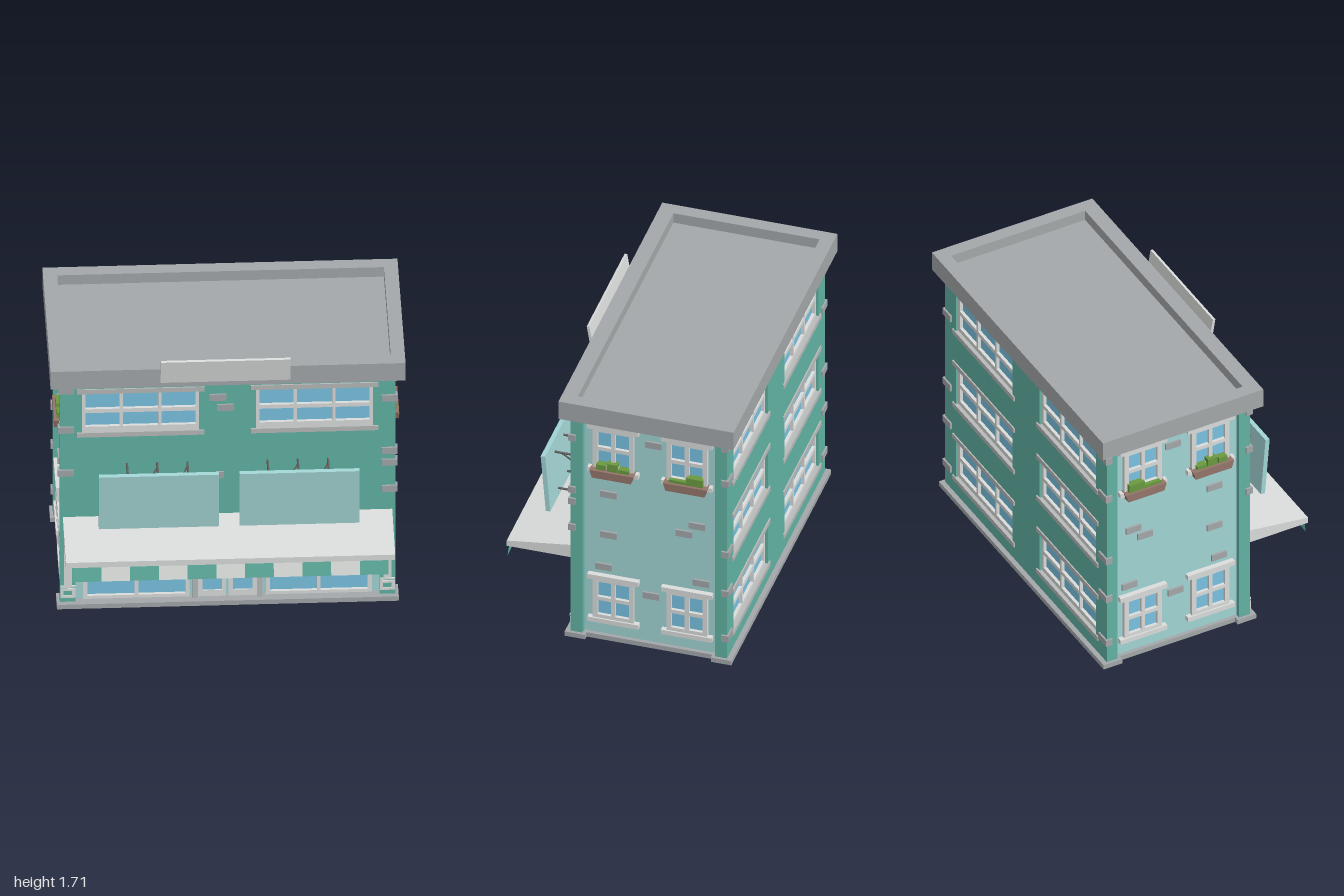
import * as THREE from 'three';

const mat = (name, color, side = THREE.FrontSide) => {
  const m = new THREE.MeshStandardMaterial({ color, side });
  m.name = name;
  return m;
};

export function createModel() {
  const green = mat('wall green', 0x62b3a4, THREE.DoubleSide);
  const teal = mat('pale teal', 0xa3d5d5);
  const stone = mat('stone grey', 0xa4a8aa);
  const lintel = mat('lintel grey', 0xb8bbba);
  const trim = mat('light trim', 0xdadddb);
  const cloth = mat('awning cloth', 0xe8eae8, THREE.DoubleSide);
  const glass = mat('glass blue', 0x7ac3e2);
  const brown = mat('planter brown', 0x94756a);
  const leaf = mat('leaf green', 0x6b9a40);
  const dark = mat('dark metal', 0x62625f);

  const model = new THREE.Group();
  model.name = 'shopBuilding';

  const add = (parent, name, geo, material, x = 0, y = 0, z = 0) => {
    const m = new THREE.Mesh(geo, material);
    m.name = name;
    m.position.set(x, y, z);
    parent.add(m);
    return m;
  };
  // Box given by its limits on each axis
  const box = (parent, name, material, x0, x1, y0, y1, z0, z1) =>
    add(parent, name, new THREE.BoxGeometry(x1 - x0, y1 - y0, z1 - z0), material,
      (x0 + x1) / 2, (y0 + y1) / 2, (z0 + z1) / 2);
  const group = (name, x, y, z, ry = 0) => {
    const g = new THREE.Group();
    g.name = name;
    g.position.set(x, y, z);
    g.rotation.y = ry;
    model.add(g);
    return g;
  };
  const polygon = (points) => new THREE.Shape(points.map(([x, y]) => new THREE.Vector2(x, y)));
  const rect = (C, x0, x1, y0, y1) => {
    const s = new C();
    s.moveTo(x0, y0); s.lineTo(x1, y0); s.lineTo(x1, y1); s.lineTo(x0, y1); s.closePath();
    return s;
  };
  const extrude = (shape, depth) => new THREE.ExtrudeGeometry(shape, { depth, bevelEnabled: false });
  // Frame with panes; xs and ys list [start, end] of each opening
  const frame = (parent, name, w, h, xs, ys, depth = 0.025) => {
    const s = rect(THREE.Shape, -w / 2, w / 2, -h / 2, h / 2);
    for (const [a, b] of xs) for (const [c, d] of ys) s.holes.push(rect(THREE.Path, a, b, c, d));
    add(parent, name, extrude(s, depth), trim);
    box(parent, name + 'Glass', glass, xs[0][0], xs.at(-1)[1], ys[0][0], ys.at(-1)[1], 0, 0.006);
  };
  // Window with header and sill, facing +z of its group
  const windowUnit = (g, w, h, xs, ys, edge, reach) => {
    frame(g, 'windowFrame', w, h, xs, ys);
    for (const s of [-1, 1])
      box(g, s < 0 ? 'sill' : 'header', edge, -w / 2 - 0.03, w / 2 + 0.03,
        s * (h / 2 + 0.003) - 0.015, s * (h / 2 + 0.003) + 0.015, 0, reach);
  };

  // Walls: thick front and back with openings, recessed pale sides between corner posts
  const front = 0.25, back = -0.59, columns = [-0.49, 0.49], floors = [1.32, 0.8, 0.28];
  box(model, 'wallCore', green, -0.905, 0.905, 0.02, 1.53, back, front);
  const wall = (name, openings, z) => {
    const s = rect(THREE.Shape, -0.945, 0.945, 0.02, 1.53);
    for (const o of openings) s.holes.push(rect(THREE.Path, ...o));
    add(model, name, extrude(s, 0.04), green, 0, 0, z);
  };
  const opening = (x, y) => [x - 0.33, x + 0.33, y - 0.145, y + 0.145];
  wall('frontWall', [[-0.856, 0.856, 0.025, 0.53], ...columns.map((x) => opening(x, 1.32))], front);
  wall('backWall', columns.flatMap((x) => floors.map((y) => opening(x, y))), back - 0.04);
  box(model, 'base', stone, -0.935, 0.935, 0, 0.03, -0.66, 0.32);
  for (const s of [-1, 1]) {
    const side = (a, b) => s > 0 ? [a, b] : [-b, -a];
    box(model, 'sideWall', teal, ...side(0.9, 0.912), 0.02, 1.53, -0.56, 0.22);
    for (const [z0, z1, b0, b1] of [[0.22, 0.25, 0.2, 0.32], [-0.59, -0.56, -0.66, -0.54]]) {
      box(model, 'cornerPost', green, ...side(0.88, 0.945), 0.02, 1.53, z0, z1);
      box(model, 'cornerBase', stone, ...side(0.9, 0.963), 0, 0.03, b0, b1);
    }
  }

  // Roof: rim with a sunken deck, and a leaning blank board
  const rim = rect(THREE.Shape, -1, 1, -0.345, 0.685);
  rim.holes.push(rect(THREE.Path, -0.92, 0.92, -0.255, 0.605));
  add(model, 'roofRim', extrude(rim, 0.12), stone, 0, 1.525, 0).rotation.x = -Math.PI / 2;
  box(model, 'roofDeck', stone, -0.93, 0.93, 1.526, 1.58, -0.61, 0.26);
  add(model, 'roofBoard', new THREE.BoxGeometry(0.73, 0.157, 0.016), trim, -0.015, 1.635, 0.357)
    .rotation.x = 0.16;

  // Wide three-column windows set into the walls: one row in front, three rows behind
  const wide = (x, y, z, ry) => windowUnit(group('wideWindow', x, y, z, ry), 0.66, 0.29,
    [[-0.31, -0.117], [-0.1, 0.1], [0.117, 0.31]], [[-0.105, -0.012], [0.014, 0.117]], lintel, 0.048);
  for (const x of columns) {
    wide(x, 1.32, front, 0);
    for (const y of floors) wide(x, y, back, Math.PI);
  }

  // Side windows, with planters on the upper floor
  const planterShape = polygon([[-0.115, 0], [0.115, 0], [0.13, 0.05], [-0.13, 0.05]]);
  for (const s of [-1, 1]) for (const [i, z] of [0.043, -0.39].entries()) {
    for (const y of [1.32, 0.28]) {
      const g = group('sideWindow', s * 0.91, y, z, s * Math.PI / 2);
      windowUnit(g, 0.24, 0.29, [[-0.092, -0.012], [0.012, 0.092]],
        [[-0.11, -0.012], [0.012, 0.115]], trim, 0.034);
    }
    const p = group('planter', s * 0.912, 1.138, z, s * Math.PI / 2);
    add(p, 'planterBox', extrude(planterShape, 0.06), brown);
    const bushes = i ? [[-0.1, 0, 0.07], [0.002, 0.1, 0.1]]
      : [[-0.095, -0.04, 0.085], [-0.03, 0.03, 0.1], [0.035, 0.097, 0.073]];
    for (const [a, b, top] of bushes) {
      const [x0, x1] = s > 0 ? [a, b] : [-b, -a];
      box(p, 'bush', leaf, x0, x1, 0.04, top, 0.005, 0.045);
    }
  }

  // Shop front: pale panel, display windows and double door
  const shop = front + 0.006;
  box(model, 'shopPanel', teal, -0.856, 0.856, 0.025, 0.53, front - 0.01, shop);
  for (const s of [-1, 1]) {
    frame(group('displayWindow', s * 0.513, 0.232, shop), 'displayFrame', 0.6, 0.385,
      [[-0.275, -0.01], [0.01, 0.275]], [[-0.172, -0.064], [-0.032, 0.165]]);
    const d = group('door', s * 0.086, 0.19, shop);
    frame(d, 'doorLeaf', 0.158, 0.32, [[-0.056, 0.056]], [[-0.12, 0.135]], 0.014);
    box(d, 'doorHandle', dark, -s * 0.066 - 0.005, -s * 0.066 + 0.005, -0.03, 0.045, 0.014, 0.028);
    box(model, 'doorJamb', lintel, s * 0.181 - 0.015, s * 0.181 + 0.015, 0.03, 0.37, front, 0.285);

    // Decorated pilaster
    const q = group('pilaster', s * 0.9, 0, 0.288);
    box(q, 'pilasterStrip', trim, -0.023, 0.023, 0.14, 0.53, 0, 0.007);
    box(q, 'pilasterBand', trim, -0.042, 0.042, 0.13, 0.142, 0, 0.009);
    const foot = rect(THREE.Shape, -0.042, 0.042, 0.06, 0.122);
    foot.holes.push(rect(THREE.Path, -0.024, 0.024, 0.076, 0.108));
    add(q, 'pilasterFoot', extrude(foot, 0.008), trim);
  }
  box(model, 'doorLintel', lintel, -0.196, 0.196, 0.35, 0.375, front, 0.285);

  // Awning wedge
  const wedge = polygon([[-0.28, 0.525], [-0.28, 0.612], [-0.672, 0.561], [-0.672, 0.525]]);
  add(model, 'awning', extrude(wedge, 1.855), trim, -0.928, 0, 0).rotation.y = Math.PI / 2;
  // Striped valance
  const sw = 1.78 / 11;
  for (let i = 0; i < 11; i++)
    add(model, 'valanceStripe', new THREE.PlaneGeometry(sw, 0.094), i % 2 ? cloth : green,
      -0.89 + sw * (i + 0.5), 0.479, 0.672).rotation.x = -0.13;

  // Blank billboards held off the wall by a braced metal frame
  const rod = (a, b, r = 0.005) => {
    const p = new THREE.Vector3(...a), q = new THREE.Vector3(...b);
    const m = add(model, 'bracketRod', new THREE.CylinderGeometry(r, r, p.distanceTo(q), 6), dark);
    m.position.addVectors(p, q).multiplyScalar(0.5);
    m.quaternion.setFromUnitVectors(new THREE.Vector3(0, 1, 0), q.sub(p).normalize());
  };
  for (const c of [-0.397, 0.395]) {
    add(model, 'billboard', new THREE.BoxGeometry(0.675, 0.375, 0.027), teal, c, 0.856, 0.503)
      .rotation.x = 0.08;
    for (const dx of [-0.17, 0, 0.17]) {
      rod([c + dx, 0.965, 0.28], [c + dx, 0.965, 0.5], 0.007);
      rod([c + dx, 0.718, 0.28], [c + dx, 0.718, 0.48], 0.007);
    }
    for (const dx of [-0.17, 0]) {
      rod([c + dx, 0.718, 0.33], [c + dx + 0.17, 0.965, 0.46]);
      rod([c + dx, 0.718, 0.46], [c + dx + 0.17, 0.965, 0.33]);
    }
  }

  // Loose bricks on the front and side walls
  for (const [x, y, w] of [[-0.055, 1.408, 0.094], [-0.013, 1.338, 0.094], [-0.043, 0.877, 0.045]])
    box(model, 'frontBrick', stone, x - w / 2, x + w / 2, y - 0.021, y + 0.021, 0.28, 0.3);
  const sideBricks = [[-0.19, 1.397], [0.075, 1], [-0.445, 0.89], [-0.37, 0.823], [0.075, 0.72],
    [0.105, 0.495], [-0.47, 0.5], [-0.175, 0.35]];
  for (const s of [-1, 1]) for (const [z, y] of sideBricks)
    add(model, 'sideBrick', new THREE.BoxGeometry(0.02, 0.042, 0.096), stone, s * 0.915, y, z);

  // Corner bricks wrapping the four corners
  const corner = (sx, z, heights) => {
    for (const y of heights)
      add(model, 'cornerBrick', new THREE.BoxGeometry(0.092, 0.042, 0.042), stone, sx * 0.911, y, z);
  };
  corner(-1, 0.28, [1.478, 1.21, 0.915]);
  corner(1, 0.28, [1.375, 1.015, 0.935, 0.755]);
  corner(-1, -0.62, [1.46, 1.19, 0.75, 0.48, 0.17]);
  corner(1, -0.62, [1.483, 1.243, 0.75, 0.48, 0.17]);

  return model;
}
